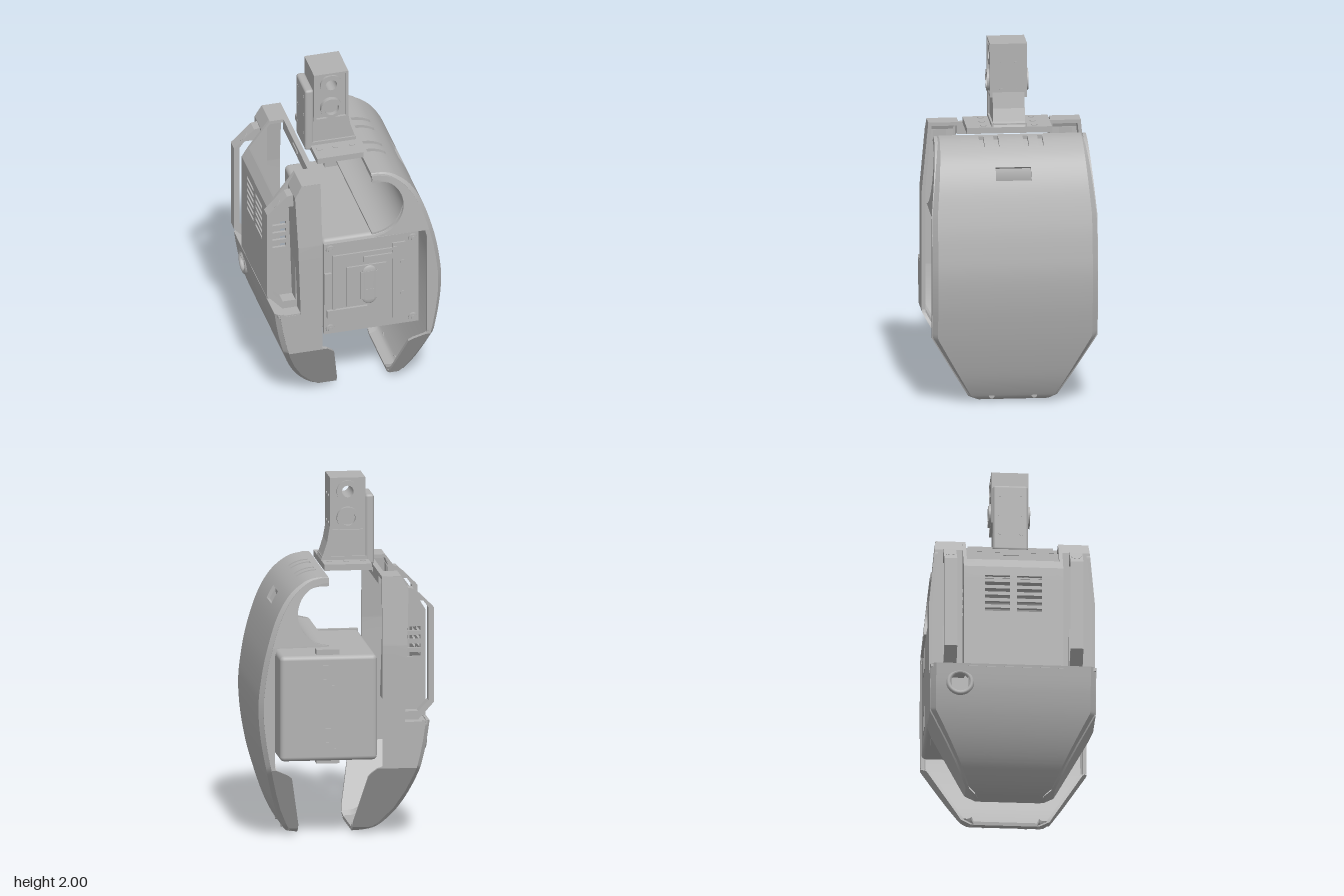
import * as THREE from 'three';
import { toCreasedNormals } from 'three/addons/utils/BufferGeometryUtils.js';
import { RoundedBoxGeometry } from 'three/addons/geometries/RoundedBoxGeometry.js';

const grey = new THREE.MeshStandardMaterial({ color: 0xb2b2b2, side: THREE.DoubleSide });
grey.name = 'shell grey';

// piecewise linear lookup in [key, value] pairs sorted by key
function lookup(pairs, k) {
  for (let i = 1; i < pairs.length; i++) {
    const [k0, v0] = pairs[i - 1], [k1, v1] = pairs[i];
    if (k <= k1) return v0 + (v1 - v0) * Math.max(0, (k - k0) / (k1 - k0 || 1));
  }
  return pairs[pairs.length - 1][1];
}
// half depth of the torso at height y
const half = y => lookup([[0, 0.19], [0.03, 0.25], [0.4, 0.467], [1.1, 0.467], [1.49, 0.43]], y);

// thick sheet on a grid: pos(i, j, s) gives the outer (s=0) or inner (s=1) point; cells may be left out
function slab(rows, cols, pos, keep = () => true) {
  const v = [];
  const has = (i, j) => i >= 0 && j >= 0 && i < rows && j < cols && keep(i, j);
  const P = (c, s) => new THREE.Vector3(...pos(c[0], c[1], s));
  const o = P([0, 0], 0);
  const n = P([0, 1], 0).sub(o).cross(P([1, 0], 0).sub(o));
  const flip = n.dot(o.clone().sub(P([0, 0], 1))) < 0;
  const quad = (a, b, c, d) => {
    if (flip) [b, d] = [d, b];
    for (const p of [a, b, c, a, c, d]) v.push(p.x, p.y, p.z);
  };
  for (let i = 0; i < rows; i++) for (let j = 0; j < cols; j++) {
    if (!has(i, j)) continue;
    const k = [[i, j], [i, j + 1], [i + 1, j + 1], [i + 1, j]];
    quad(...k.map(c => P(c, 0)));
    quad(...k.map(c => P(c, 1)).reverse());
    [[i - 1, j], [i, j + 1], [i + 1, j], [i, j - 1]].forEach((nb, e) => {
      const p = k[e], q = k[(e + 1) % 4];
      if (!has(...nb)) quad(P(p, 1), P(q, 1), P(q, 0), P(p, 0));
    });
  }
  const g = new THREE.BufferGeometry();
  g.setAttribute('position', new THREE.Float32BufferAttribute(v, 3));
  return toCreasedNormals(g, 0.4);
}

const vectors = pts => pts.map(p => new THREE.Vector2(...p));
const shapeOf = (pts, hole) => {
  const s = new THREE.Shape(vectors(pts));
  if (hole) s.holes.push(new THREE.Path(vectors(hole)));
  return s;
};
const rect = (x0, x1, y0, y1) => [[x0, y0], [x1, y0], [x1, y1], [x0, y1]];
const extrude = (shape, depth) => new THREE.ExtrudeGeometry(shape, { depth, bevelEnabled: false, curveSegments: 24 }).translate(0, 0, -depth / 2);
function circleHole(shape, x, y, r) { shape.holes.push(new THREE.Path().absarc(x, y, r, 0, Math.PI * 2, true)); }

export function createModel() {
  const root = new THREE.Group();
  const add = (name, geo, x = 0, y = 0, z = 0) => {
    const m = new THREE.Mesh(geo, grey);
    m.name = name;
    m.position.set(x, y, z);
    root.add(m);
    return m;
  };
  const box = (name, x0, x1, y0, y1, z0, z1) =>
    add(name, new THREE.BoxGeometry(x1 - x0, y1 - y0, z1 - z0), (x0 + x1) / 2, (y0 + y1) / 2, (z0 + z1) / 2);
  const knob = (name, r, h, x, y, z, axis = 'z', sides = 16) => {
    const g = new THREE.CylinderGeometry(r, r, h, sides);
    if (axis === 'z') g.rotateX(Math.PI / 2);
    if (axis === 'x') g.rotateZ(Math.PI / 2);
    return add(name, g, x, y, z);
  };

  // curved skins with chamfered front and back edges
  const cols = [-0.467];
  for (let k = 0; k < 30; k++) cols.push(-0.435 + k * 0.03);
  cols.push(0.467);
  function skin(name, points, side, keep) {
    const p = new THREE.SplineCurve(vectors(points)).getSpacedPoints(90);
    const N = p.length - 1;
    const pos = (i, j, s) => {
      const a = p[Math.max(i - 1, 0)], b = p[Math.min(i + 1, N)], L = a.distanceTo(b);
      const d = (j === 0 || j === cols.length - 1 ? 0.028 : 0) + s * 0.02;
      const nx = side * (a.y - b.y) / L, ny = side * (b.x - a.x) / L;
      return [p[i].x - nx * d, Math.max(0, p[i].y - ny * d), cols[j] * half(p[i].y) / 0.467];
    };
    add(name, slab(N, cols.length - 1, pos, (i, j) =>
      keep((p[i].x + p[i + 1].x) / 2, (p[i].y + p[i + 1].y) / 2, (cols[j] + cols[j + 1]) / 2)));
    return p.map(q => [q.y, q.x]).reverse();
  }
  const leftCurve = skin('leftShellSkin', [[0.1, 1.49], [0.18, 1.485], [0.25, 1.455], [0.33, 1.38], [0.4, 1.25],
    [0.46, 1.05], [0.49, 0.88], [0.5, 0.75], [0.49, 0.6], [0.465, 0.45], [0.43, 0.3], [0.385, 0.15], [0.34, 0.05], [0.31, 0.012], [0.25, 0]], 1,
    (x, y, z) => {
      const a = Math.abs(z);
      const topSlot = x > 0.13 && x < 0.25 && y > 1.4 && (Math.abs(a - 0.09) < 0.01 || Math.abs(a - 0.18) < 0.01);
      return !topSlot && !(a < 0.12 && Math.abs(y - 1.328) < 0.03);
    });
  const rightCurve = skin('rightLowerSkin', [[-0.47, 0.665], [-0.447, 0.52], [-0.412, 0.38], [-0.362, 0.25], [-0.3, 0.14],
    [-0.23, 0.06], [-0.17, 0.018], [-0.12, 0.003], [-0.06, 0]], -1,
    (x, y, z) => Math.hypot(y - 0.555, z + 0.3) > 0.06);
  const port = add('cablePortRing', new THREE.TorusGeometry(0.065, 0.014, 8, 28), -0.45, 0.555, -0.3);
  port.rotation.set(0, Math.PI / 2, 0.17);

  // end walls of both shells, front and back
  const leftInner = y => {
    if (y > 1.46) return 0.1;
    if (y > 1.1) return 0.1 + Math.sqrt(Math.max(0, 0.178 ** 2 - (y - 1.284) ** 2));
    return lookup([[0, 0.25], [0.05, 0.25], [0.35, 0.31], [0.37, 0.335], [0.4, 0.4], [0.41, 0.41], [1.1, 0.41]], y);
  };
  const rightInner = y => y > 0.405 ? -0.2 : lookup([[0, -0.06], [0.06, -0.06], [0.36, -0.125], [0.4, -0.17]], y);
  const leftOuter = y => Math.max(lookup(leftCurve, y) - 0.025, leftInner(y));
  const rightOuter = y => y > 0.655 ? lookup([[0.65, -0.325], [1.41, -0.35], [1.49, -0.31]], y) : lookup(rightCurve, y) + 0.025;
  const levels = [1.488, 1.475, 1.461, 1.459];
  for (let k = 1; k < 20; k++) levels.push(1.459 - k * 0.018);
  levels.push(1.102, 1.098, 1, 0.9, 0.8, 0.7, 0.657, 0.653, 0.55, 0.47, 0.41, 0.4, 0.37, 0.35, 0.25, 0.15, 0.06, 0.03, 0.012, 0.002);
  for (const s of [1, -1]) {
    const wall = (inner, outer) => slab(levels.length - 1, 1, (i, j, t) => {
      const y = levels[i];
      return [j ? outer(y) : inner(y), y, s * (half(y) - t * 0.02)];
    });
    add('leftEndWall', wall(leftInner, leftOuter));
    add('rightEndWall', wall(rightInner, rightOuter));
  }
  // round shoulder channel inside the left shell
  add('shoulderChannel', slab(24, 1, (i, j, t) => {
    const a = Math.PI / 2 - i / 24 * Math.PI, r = 0.178 + t * 0.012;
    return [0.1 + Math.cos(a) * r, 1.284 + Math.sin(a) * r, j ? 0.425 : -0.425];
  }));

  // vented panel with open top between the handles
  const prof = [[-0.2, 1.49], [-0.23, 1.49], [-0.31, 1.49], [-0.43, 1.33], [-0.467, 1.27]];
  for (let k = 0; k <= 11; k++) prof.push([-0.468, 1.215 - k * 0.02]);
  prof.push([-0.468, 0.65]);
  const zs = [-0.28, -0.26, -0.16, -0.02, 0.02, 0.16, 0.26, 0.28];
  add('ventPanel', slab(prof.length - 1, 7, (i, j, t) => [prof[i][0] + (i > 2 ? t * 0.02 : 0), prof[i][1] - (i < 4 ? t * 0.02 : 0), zs[j]],
    (i, j) => !((i === 1 || i === 2) && j > 0 && j < 6) && !(i >= 5 && i < 16 && i % 2 === 1 && (j === 2 || j === 4))));
  box('openingInnerBar', -0.228, -0.202, 1.42, 1.48, -0.27, 0.27);
  box('barClip', -0.235, -0.195, 1.45, 1.47, -0.045, 0.045);
  const column = [[-0.2, 1.49], [-0.31, 1.49], [-0.35, 1.42], [-0.325, 0.65]];
  for (const s of [1, -1]) {
    add('sideColumn', slab(3, 1, (i, j, t) => {
      const [x, y] = column[i];
      return [x + (i > 1 ? t * 0.02 : 0), y - (i < 2 ? t * 0.02 : 0), s * (j ? half(y) : 0.27)];
    }));
    // recess wall with four slots
    const wall = shapeOf([[-0.325, 0.65], [-0.325, 1.46], [-0.43, 1.32], [-0.467, 1.26], [-0.467, 0.65]]);
    for (let k = 0; k < 4; k++) {
      const y = 1.015 + k * 0.049;
      wall.holes.push(new THREE.Path(vectors(rect(-0.44, -0.36, y - 0.012, y + 0.012))));
    }
    add('recessWall', extrude(wall, 0.016), 0, 0, s * 0.272);
    box('handleLedge', -0.455, -0.32, 0.645, 0.663, s > 0 ? 0.27 : -0.465, s > 0 ? 0.465 : -0.27);
    // handle loop
    add('handle', extrude(shapeOf(
      [[-0.325, 1.42], [-0.385, 1.41], [-0.5, 1.3], [-0.5, 0.76], [-0.4, 0.65], [-0.325, 0.65]],
      [[-0.335, 1.34], [-0.44, 1.34], [-0.47, 1.3], [-0.47, 0.77], [-0.41, 0.71], [-0.335, 0.71]]), 0.072), 0, 0, s * 0.355);
    knob('handleCap', 0.03, 0.006, -0.441, 1.355, s * 0.355, 'y', 24).rotation.z = Math.PI / 4;
    knob('bottomScrew', 0.016, 0.02, 0.322, 0.035, s * 0.12, 'x');
  }

  // equipment box
  add('equipmentBox', new RoundedBoxGeometry(0.55, 0.6, 0.815, 3, 0.025), 0.105, 0.75, -0.0575);
  box('topTab', 0.04, 0.17, 1.04, 1.08, -0.43, -0.37);
  box('bottomTab', 0.04, 0.17, 0.43, 0.46, -0.43, -0.37);
  for (const y of [0.93, 0.57]) {
    add('rearSocketFrame', extrude(shapeOf(rect(-0.06, 0.06, -0.065, 0.065), rect(-0.045, 0.045, -0.05, 0.05)), 0.01), 0.11, y, -0.464);
    box('rearSocketStep', 0.07, 0.15, y - 0.05, y - 0.015, -0.467, -0.46);
  }
  // front plate and its fittings
  box('frontPlate', -0.17, 0.38, 0.45, 1.05, 0.37, 0.395);
  for (const x of [-0.135, 0.345]) for (const y of [0.485, 1.015]) {
    knob('plateSpacer', 0.02, 0.04, x, y, 0.36);
    knob('plateScrew', 0.026, 0.014, x, y, 0.4);
    knob('plateScrewHead', 0.014, 0.02, x, y, 0.402, 'z', 6);
  }
  box('plateUpperRail', -0.12, 0.3, 0.955, 0.97, 0.39, 0.405);
  box('plateLowerPad', -0.155, 0.08, 0.56, 0.61, 0.39, 0.41);
  box('plateLeftRail', -0.12, -0.108, 0.61, 0.96, 0.39, 0.405);
  box('plateClip', -0.168, -0.13, 0.65, 0.86, 0.39, 0.41);
  box('slideBar', 0.225, 0.3, 0.5, 1.0, 0.39, 0.405);
  box('slideRail', 0.23, 0.25, 0.52, 0.98, 0.4, 0.412);
  box('slideArm', 0.06, 0.23, 0.9, 0.935, 0.39, 0.405);
  for (const y of [0.66, 0.87]) knob('railScrew', 0.013, 0.02, 0.285, y, 0.4);
  box('centreBlock', -0.04, 0.19, 0.62, 0.88, 0.39, 0.405);
  box('centreStep', 0.04, 0.14, 0.66, 0.84, 0.4, 0.412);
  add('latch', new THREE.CapsuleGeometry(0.042, 0.17, 6, 16).scale(1, 1, 0.25), 0.09, 0.75, 0.406);
  for (const y of [0.69, 0.81]) box('latchKey', 0.065, 0.115, y - 0.035, y + 0.035, 0.405, 0.418);

  // neck base plate with screws
  box('neckPlate', -0.168, 0.1, 1.495, 1.53, -0.24, 0.24);
  for (const x of [-0.13, -0.035, 0.06]) for (const z of [-0.143, 0.143]) knob('neckScrew', 0.018, 0.01, x, 1.528, z, 'y', 6);

  // sensor head
  const head = shapeOf([[-0.15, 2], [-0.15, 1.72], [-0.168, 1.53], [0.1, 1.53], [0.088, 1.56], [0.065, 1.63], [0.05, 1.72], [0.05, 2]]);
  circleHole(head, -0.05, 1.92, 0.033);
  add('sensorHead', extrude(head, 0.18));
  box('neckFoot', -0.16, 0.095, 1.53, 1.55, -0.1, 0.1);
  for (const s of [1, -1]) {
    add('headRim', extrude(shapeOf(rect(-0.15, 0.05, 1.69, 2), rect(-0.137, 0.037, 1.703, 1.987)), 0.015), 0, 0, s * 0.0975);
    for (const y of [1.92, 1.77]) {
      const ring = new THREE.Shape().absarc(0, 0, 0.062, 0, Math.PI * 2);
      circleHole(ring, 0, 0, y > 1.8 ? 0.033 : 0.042);
      add('lensRing', extrude(ring, 0.03), -0.05, y, s * (y > 1.8 ? 0.09 : 0.102));
    }
  }
  for (const y of [1.735, 1.89]) for (const z of [-0.04, 0.04]) knob('headScrew', 0.01, 0.006, 0.051, y, z, 'x', 6);
  // rear bracket of the head
  add('headBracket', new RoundedBoxGeometry(0.05, 0.4, 0.2, 2, 0.015), -0.175, 1.7, 0);
  for (const y of [1.6, 1.72, 1.84]) for (const z of [-0.06, 0.06]) knob('bracketScrew', 0.01, 0.004, -0.2, y, z, 'x', 8);
  return root;
}
